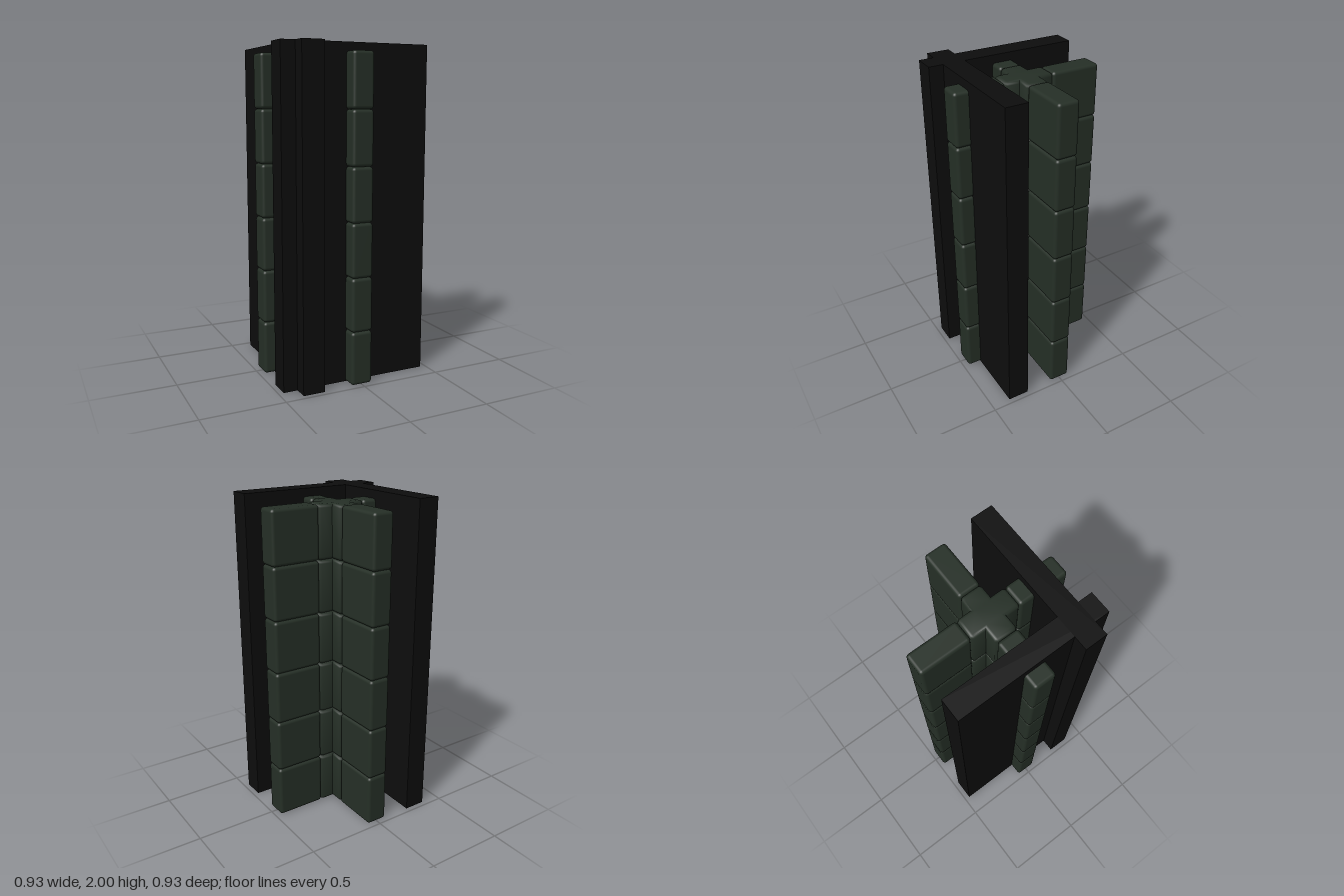
import * as THREE from 'three';
import { RoundedBoxGeometry } from 'three/addons/geometries/RoundedBoxGeometry.js';
import { toCreasedNormals } from 'three/addons/utils/BufferGeometryUtils.js';

const W = 0.135;      // thickness of slabs and blocks
const REACH = 0.467;  // outer end of arms and slabs
const CORE = 0.155;   // outer end of the core cross
const PITCH = 0.325;  // height of one level
const LEVELS = 6;
const R = 0.02;       // edge rounding

// Cross-shaped block with rounded outer corners and bevelled rims
function coreGeometry() {
  const h = W / 2 - R, e = CORE - R, c = R * 0.7;
  const shape = new THREE.Shape();
  for (let i = 0; i < 4; i++) {
    const a = i * Math.PI / 2;
    const p = (x, y) => [x * Math.cos(a) - y * Math.sin(a), x * Math.sin(a) + y * Math.cos(a)];
    if (i === 0) shape.moveTo(...p(h, -h));
    shape.lineTo(...p(e - c * 0.2, -h));
    shape.lineTo(...p(e, -h + c * 0.2));
    shape.lineTo(...p(e, h - c * 0.2));
    shape.lineTo(...p(e - c * 0.2, h));
    shape.lineTo(...p(h, h));
  }
  const geo = new THREE.ExtrudeGeometry(shape, {
    depth: PITCH - 2 * R, bevelEnabled: true, bevelSize: R, bevelThickness: R, bevelSegments: 3,
  });
  geo.translate(0, 0, R - PITCH / 2).rotateX(-Math.PI / 2);
  return toCreasedNormals(geo, 0.9);
}

export function createModel() {
  const model = new THREE.Group();
  const green = new THREE.MeshStandardMaterial({ color: 0x252f26 });
  green.name = 'dark green';
  const black = new THREE.MeshStandardMaterial({ color: 0x0d0d0d });
  black.name = 'black';

  const add = (parent, name, geo, mat, x, y, z) => {
    const mesh = new THREE.Mesh(geo, mat);
    mesh.name = name;
    mesh.position.set(x, y, z);
    parent.add(mesh);
    return mesh;
  };

  // Two full-height slabs crossing near the front corner
  add(model, 'sideSlab', new THREE.BoxGeometry(W, 2, 2 * REACH), black, -0.312, 1, 0);
  add(model, 'frontSlab', new THREE.BoxGeometry(2 * REACH, 2, W), black, 0, 1, 0.311);

  // Stacked levels: one cross core and four arms each
  const core = coreGeometry();
  const arm = new RoundedBoxGeometry(REACH - CORE, PITCH, W, 3, R);
  const mid = (REACH + CORE) / 2;
  for (let i = 0; i < LEVELS; i++) {
    const level = new THREE.Group();
    level.name = 'level' + (i + 1);
    level.position.y = (i + 0.5) * PITCH;
    add(level, 'crossCore', core, green, 0, 0, 0);
    ['leftArm', 'backArm', 'rightArm', 'frontArm'].forEach((name, k) => {
      const a = k * Math.PI / 2;
      add(level, name, arm, green, mid * Math.cos(a), 0, -mid * Math.sin(a)).rotation.y = a;
    });
    model.add(level);
  }
  return model;
}
